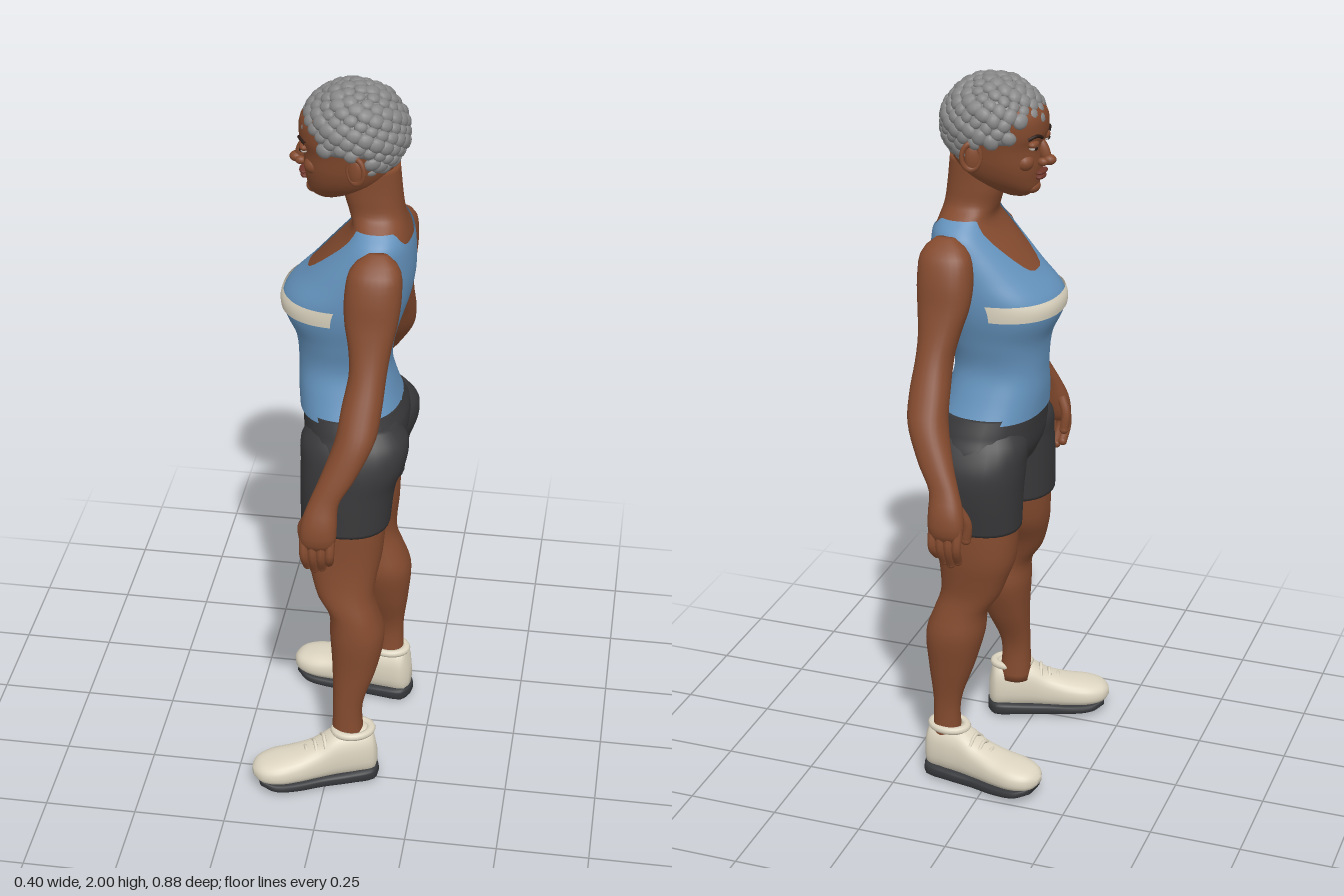
import * as THREE from 'three';
import { mergeGeometries } from 'three/addons/utils/BufferGeometryUtils.js';

const paint = (name, color) => Object.assign(new THREE.MeshStandardMaterial({ color }), { name });
const skin = paint('skin', 0x834a2e), hairGrey = paint('hair grey', 0x868686);
const blue = paint('shirt blue', 0x6391bb), charcoal = paint('shorts charcoal', 0x38383a);
const cream = paint('shoe cream', 0xddd5c1), rubber = paint('sole rubber', 0x35373a);
const white = paint('eye white', 0xd8d0c8), dark = paint('iris and brow dark', 0x2a1a14);
const lipTone = paint('lip', 0x6e352a);
blue.side = cream.side = THREE.DoubleSide;

// Smooth profile through rows of [height, x0, x1, z0, z1]
function profile(rows) {
  const r = [...rows].sort((a, b) => a[0] - b[0]), n = r.length - 1;
  const slope = (i, k) => {
    const a = r[Math.max(i - 1, 0)], b = r[Math.min(i + 1, n)];
    return (b[k] - a[k]) / (b[0] - a[0]);
  };
  const at = (y) => {
    let i = 0;
    while (i < n - 1 && y > r[i + 1][0]) i++;
    const h = r[i + 1][0] - r[i][0], t = THREE.MathUtils.clamp((y - r[i][0]) / h, 0, 1);
    const t2 = t * t, t3 = t2 * t;
    return [1, 2, 3, 4].map((k) => (2 * t3 - 3 * t2 + 1) * r[i][k] + (t3 - 2 * t2 + t) * h * slope(i, k)
      + (3 * t2 - 2 * t3) * r[i + 1][k] + (t3 - t2) * h * slope(i + 1, k));
  };
  return { at, lo: r[0][0], hi: r[n][0] };
}

// Point on a profile's skin; angle 0 is the front (-x), positive angles go to +z
function onSkin(prof, y, a, off = 0, p = 0.88) {
  const [x0, x1, z0, z1] = prof.at(y), f = (v) => Math.sign(v) * Math.abs(v) ** p;
  return [(x0 + x1) / 2 - ((x1 - x0) / 2 + off) * f(Math.cos(a)), y, (z0 + z1) / 2 + ((z1 - z0) / 2 + off) * f(Math.sin(a))];
}

// Grid over a profile, closed all round with caps, or an open patch
function loft(prof, { nu = 28, nv = 36, from = -Math.PI, to = Math.PI, bottom = () => prof.lo, top = () => prof.hi,
  off = 0, p = 0.88, caps = true } = {}) {
  const pos = [], idx = [], closed = to - from > 6.28, w = closed ? nu : nu + 1;
  for (let j = 0; j <= nv; j++) for (let i = 0; i < w; i++) {
    const a = from + (to - from) * i / nu;
    pos.push(...onSkin(prof, THREE.MathUtils.lerp(bottom(a), top(a), j / nv), a, off, p));
  }
  for (let j = 0; j < nv; j++) for (let i = 0; i < nu; i++) {
    const a = j * w + i, b = j * w + (i + 1) % w;
    idx.push(a, b, a + w, b, b + w, a + w);
  }
  if (closed && caps) [[prof.lo, 0], [prof.hi, nv * w]].forEach(([y, s], end) => {
    const [x0, x1, z0, z1] = prof.at(y), c = pos.length / 3;
    pos.push((x0 + x1) / 2, y, (z0 + z1) / 2);
    for (let i = 0; i < nu; i++) {
      const a = s + i, b = s + (i + 1) % nu;
      idx.push(c, end ? a : b, end ? b : a);
    }
  });
  const g = new THREE.BufferGeometry();
  g.setAttribute('position', new THREE.Float32BufferAttribute(pos, 3));
  g.setIndex(idx);
  g.computeVertexNormals();
  return g;
}

export function createModel() {
  const model = new THREE.Group();
  const add = (name, geo, mat, parent = model) => {
    const m = new THREE.Mesh(geo, mat);
    m.name = name;
    parent.add(m);
    return m;
  };
  const blob = (name, mat, at, size, parent) => {
    const m = add(name, new THREE.SphereGeometry(1, 16, 12), mat, parent);
    m.position.set(...at);
    m.scale.set(...size);
    return m;
  };
  const tube = (pts, r) => new THREE.TubeGeometry(new THREE.CatmullRomCurve3(pts.map((q) => new THREE.Vector3(...q))), 8, r, 8);

  // Torso and neck
  const torso = profile([[1.08, -0.1, 0.168, 0.176], [1.15, -0.105, 0.145, 0.14], [1.22, -0.105, 0.13, 0.116],
    [1.3, -0.113, 0.142, 0.13], [1.37, -0.143, 0.163, 0.148], [1.42, -0.142, 0.178, 0.154], [1.48, -0.085, 0.188, 0.153],
    [1.54, -0.03, 0.188, 0.148], [1.59, 0.015, 0.182, 0.138], [1.62, 0.03, 0.173, 0.11], [1.65, 0.022, 0.165, 0.075],
    [1.7, 0.008, 0.158, 0.067], [1.78, 0.005, 0.15, 0.065]].map(([y, f, b, w]) => [y, f, b, -w, w]));
  add('torso', loft(torso, { nu: 48, nv: 60, bottom: () => 1.12 }), skin);

  // Tank top with a scooped front and shallow back neckline
  const neckline = (a) => {
    const d = Math.abs(a), s = THREE.MathUtils.smoothstep;
    return 1.485 + 0.142 * s(d, 0.1, 0.95) - 0.035 * s(d, 2.1, 2.7);
  };
  add('tankTop', loft(torso, { nu: 64, nv: 44, bottom: () => 1.092, top: neckline, off: 0.005, caps: false }), blue);
  add('chestStripe', loft(torso, { nu: 40, nv: 6, from: -1.5, to: 1.5, bottom: () => 1.38, top: () => 1.425, off: 0.01 }), cream);

  // Shorts: waist block and two legs
  add('shortsWaist', loft(profile([[1.105, -0.1, 0.165, -0.173, 0.173], [1.06, -0.097, 0.182, -0.195, 0.195],
    [1.0, -0.09, 0.175, -0.215, 0.215], [0.95, -0.07, 0.13, -0.15, 0.15]])), charcoal);
  const shortsLegs = [
    [[1.08, -0.06, 0.16, 0.03, 0.17], [1.03, -0.09, 0.194, 0.005, 0.208], [0.97, -0.09, 0.19, 0, 0.23],
      [0.9, -0.09, 0.165, 0.008, 0.238], [0.79, -0.088, 0.152, 0.015, 0.244]],
    [[1.08, -0.06, 0.16, -0.17, -0.03], [1.03, -0.09, 0.194, -0.21, -0.005], [0.97, -0.09, 0.193, -0.238, 0],
      [0.9, -0.085, 0.17, -0.238, -0.012], [0.79, -0.08, 0.157, -0.222, -0.025]]];
  shortsLegs.forEach((rows) => add('shortsLeg', loft(profile(rows)), charcoal));

  // Legs
  const legs = [
    [[0.84, -0.075, 0.145, 0.03, 0.232], [0.7, -0.07, 0.135, 0.06, 0.238], [0.63, -0.053, 0.122, 0.1, 0.247],
      [0.58, -0.035, 0.118, 0.118, 0.258], [0.53, -0.003, 0.13, 0.122, 0.268], [0.46, 0, 0.148, 0.115, 0.275],
      [0.36, 0.008, 0.132, 0.145, 0.272], [0.24, 0.013, 0.095, 0.192, 0.274], [0.12, 0.01, 0.1, 0.19, 0.28]],
    [[0.84, -0.07, 0.15, -0.212, -0.03], [0.7, -0.068, 0.145, -0.212, -0.045], [0.63, -0.045, 0.138, -0.202, -0.068],
      [0.58, -0.025, 0.138, -0.197, -0.076], [0.53, 0.008, 0.155, -0.205, -0.072], [0.46, 0.018, 0.178, -0.218, -0.062],
      [0.36, 0.045, 0.172, -0.205, -0.085], [0.24, 0.082, 0.158, -0.187, -0.122], [0.12, 0.08, 0.162, -0.19, -0.115]]];
  legs.forEach((rows) => add('leg', loft(profile(rows)), skin));

  // Shoes: sections run from heel to toe, as [length, bottom, top, half width]
  const section = (rows) => profile(rows.map(([s, b, t, w]) => [s, b, t, -w, w]));
  const upper = section([[0, 0.04, 0.1, 0.02], [0.012, 0.02, 0.155, 0.042], [0.06, 0.02, 0.165, 0.05], [0.12, 0.02, 0.158, 0.05],
    [0.17, 0.02, 0.128, 0.052], [0.23, 0.022, 0.108, 0.06], [0.29, 0.026, 0.098, 0.062], [0.335, 0.035, 0.085, 0.042], [0.35, 0.05, 0.07, 0.015]]);
  const sole = section([[-0.004, 0.01, 0.036, 0.02], [0.012, 0, 0.042, 0.047], [0.08, 0, 0.04, 0.054], [0.16, 0, 0.036, 0.053],
    [0.24, 0.004, 0.036, 0.062], [0.3, 0.012, 0.04, 0.06], [0.335, 0.024, 0.045, 0.035]]);
  [[0.132, 0.222, 0.36], [0.182, -0.138, -0.17]].forEach(([x, z, turn]) => {
    const shoe = new THREE.Group();
    shoe.name = 'shoe';
    add('shoeUpper', loft(upper, { p: 0.8 }).rotateZ(Math.PI / 2), cream, shoe);
    add('shoeSole', loft(sole, { p: 0.6 }).rotateZ(Math.PI / 2), rubber, shoe);
    const collar = add('shoeCollar', new THREE.TorusGeometry(0.042, 0.011, 8, 24).rotateX(Math.PI / 2), cream, shoe);
    collar.position.set(-0.066, 0.16, 0);
    collar.scale.set(1.2, 1, 0.95);
    for (let i = 0; i < 3; i++) {
      const y = 0.146 - i * 0.016, s = -0.15 - i * 0.025;
      add('shoeLace', tube([[s, y - 0.02, -0.035], [s, y + 0.002, 0], [s, y - 0.02, 0.035]], 0.005), cream, shoe);
    }
    shoe.position.set(x, 0, z);
    shoe.rotation.y = turn;
    model.add(shoe);
  });

  // Arms and hands, mirrored across z; lean shifts the lower arm along x
  const armRows = [[1.595, 0.09, 0.14, 0.135, 0.155], [1.565, 0.05, 0.172, 0.118, 0.2], [1.5, 0.034, 0.18, 0.114, 0.228],
    [1.43, 0.036, 0.174, 0.135, 0.242], [1.36, 0.05, 0.16, 0.155, 0.263], [1.3, 0.055, 0.152, 0.178, 0.288],
    [1.22, 0.042, 0.146, 0.225, 0.33], [1.15, 0.032, 0.135, 0.263, 0.366], [1.06, 0, 0.09, 0.328, 0.398],
    [1.0, -0.025, 0.053, 0.362, 0.416], [0.95, -0.042, 0.05, 0.372, 0.436], [0.9, -0.046, 0.048, 0.385, 0.442], [0.875, -0.035, 0.036, 0.398, 0.432]];
  [[1, 0], [-1, 0.02]].forEach(([side, lean]) => {
    const arm = new THREE.Group();
    arm.name = 'arm';
    const rows = armRows.map(([y, x0, x1, a, b]) => {
      const d = lean * THREE.MathUtils.clamp((1.4 - y) / 0.2, 0, 1);
      return [y, x0 + d, x1 + d, Math.min(a * side, b * side), Math.max(a * side, b * side)];
    });
    add('armAndPalm', loft(profile(rows)), skin, arm);
    const digit = (name, pts, r) => {
      const q = pts.map(([x, y, z]) => [x + lean, y, z * side]);
      add(name, tube(q, r), skin, arm);
      blob(name + 'Tip', skin, q[2], [r, r, r], arm);
    };
    for (let i = 0; i < 4; i++) {
      const x = -0.034 + i * 0.023, tip = [0.812, 0.802, 0.808, 0.825][i];
      digit('finger', [[x, 0.91, 0.416], [x * 0.95, 0.855, 0.426], [x * 0.8, tip, 0.402]], 0.0125);
    }
    digit('thumb', [[-0.025, 0.955, 0.39], [-0.044, 0.91, 0.378], [-0.04, 0.862, 0.374]], 0.0135);
    model.add(arm);
  });

  // Head and face
  const head = profile([[1.685, -0.06, 0.0, 0.025], [1.7, -0.08, 0.04, 0.045], [1.73, -0.088, 0.1, 0.072], [1.77, -0.094, 0.135, 0.09],
    [1.82, -0.095, 0.15, 0.1], [1.86, -0.107, 0.158, 0.106], [1.91, -0.1, 0.155, 0.104], [1.96, -0.05, 0.11, 0.07]].map(([y, f, b, w]) => [y, f, b, -w, w]));
  add('head', loft(head, { nu: 40 }), skin);
  const bridge = blob('noseBridge', skin, [-0.1, 1.805, 0], [0.016, 0.036, 0.013]);
  bridge.rotation.z = -0.35;
  blob('noseTip', skin, [-0.115, 1.783, 0], [0.018, 0.014, 0.017]);
  blob('upperLip', lipTone, [-0.094, 1.751, 0], [0.014, 0.007, 0.03]);
  blob('lowerLip', lipTone, [-0.092, 1.738, 0], [0.013, 0.008, 0.026]);
  blob('chin', skin, [-0.068, 1.708, 0], [0.022, 0.018, 0.03]);
  for (const s of [-1, 1]) {
    blob('nostril', skin, [-0.102, 1.78, s * 0.016], [0.014, 0.011, 0.011]);
    const eye = (dy, off, a = 0.42) => onSkin(head, 1.826 + dy, s * a, off);
    blob('eyelid', skin, eye(0.008, -0.003), [0.014, 0.011, 0.022]);
    blob('eye', white, eye(0, 0), [0.011, 0.008, 0.017]);
    blob('iris', dark, eye(0, 0.008), [0.006, 0.007, 0.007]);
    add('eyebrow', tube([eye(0.022, 0.002, 0.2), eye(0.031, 0.002, 0.42), eye(0.024, 0.002, 0.68)], 0.0045), dark);
    blob('cheek', skin, onSkin(head, 1.785, s * 0.6, -0.016), [0.026, 0.024, 0.026]);
    const ear = blob('ear', skin, [0.05, 1.803, s * 0.113], [0.022, 0.038, 0.012]);
    ear.rotation.y = s * -0.45;
    const rim = add('earRim', new THREE.TorusGeometry(0.024, 0.006, 8, 20), skin);
    rim.position.set(0.054, 1.808, s * 0.12);
    rim.scale.y = 1.4;
    rim.rotation.y = s * -0.45;
  }

  // Hair: inner cap tucked in below the hairline, covered with packed curls
  const centre = new THREE.Vector3(0.034, 1.868, 0);
  const hairline = (x) => x < -0.05 ? 1.888 : x < 0.08 ? 1.84 : 1.762;
  const cap = new THREE.SphereGeometry(1, 40, 28);
  const v = new THREE.Vector3();
  for (let i = 0; i < cap.attributes.position.count; i++) {
    v.fromBufferAttribute(cap.attributes.position, i).multiply(new THREE.Vector3(0.133, 0.122, 0.123));
    if (v.y + centre.y < hairline(v.x + centre.x)) v.multiplyScalar(0.7);
    v.add(centre);
    cap.attributes.position.setXYZ(i, v.x, v.y, v.z);
  }
  cap.computeVertexNormals();
  add('hairCap', cap, hairGrey);
  const curls = [], count = 240, out = new THREE.Vector3(0, 0, 1);
  for (let i = 0; i < count; i++) {
    const h = 1 - 2 * (i + 0.5) / count, r = Math.sqrt(1 - h * h), a = i * 2.39996;
    const n = new THREE.Vector3(r * Math.cos(a), h, r * Math.sin(a));
    const at = n.clone().multiply(new THREE.Vector3(0.133, 0.12, 0.122)).add(centre);
    if (at.y < hairline(at.x)) continue;
    const size = 0.019 + 0.003 * Math.sin(i * 7.3);
    const g = new THREE.SphereGeometry(size, 10, 8).scale(1.05, 0.9, 0.6);
    g.applyQuaternion(new THREE.Quaternion().setFromUnitVectors(out, n));
    curls.push(g.translate(at.x, at.y, at.z));
  }
  add('hairCurls', mergeGeometries(curls), hairGrey);
  return model;
}
